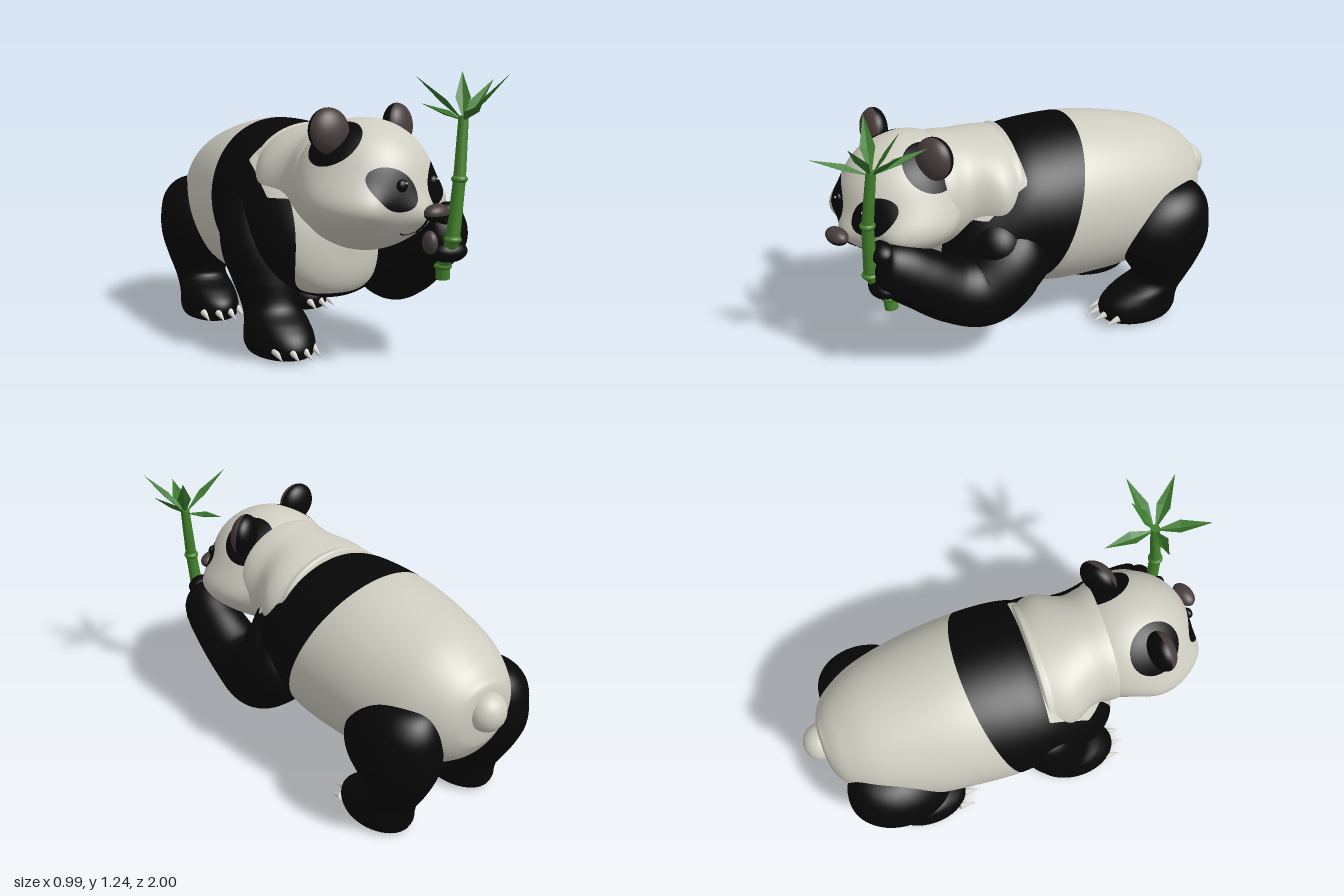
import * as THREE from 'three';
import { mergeVertices } from 'three/addons/utils/BufferGeometryUtils.js';

const mat = (name, color, side = THREE.FrontSide) => {
  const m = new THREE.MeshStandardMaterial({ color, side });
  m.name = name;
  return m;
};
const V = (x, y, z) => new THREE.Vector3(x, y, z);

// Smooth loft through elliptical stations [x, y, z, radiusX, radiusOther]
function loft(stations, rings, sides, axis) {
  const centre = new THREE.CatmullRomCurve3(stations.map(s => V(s[0], s[1], s[2])), false, 'catmullrom');
  const radius = new THREE.CatmullRomCurve3(stations.map(s => V(s[3], s[4], 0)), false, 'catmullrom');
  const pos = [], idx = [], u = V(1, 0, 0);
  for (let i = 0; i <= rings; i++) {
    const c = centre.getPoint(i / rings), r = radius.getPoint(i / rings);
    const v = (axis || centre.getTangent(i / rings)).clone().cross(u).normalize();
    for (let j = 0; j < sides; j++) {
      const a = j / sides * Math.PI * 2;
      const p = c.clone().addScaledVector(u, Math.max(0, r.x) * Math.cos(a))
        .addScaledVector(v, Math.max(0, r.y) * Math.sin(a));
      pos.push(p.x, p.y, p.z);
      if (i === rings) continue;
      const k = (j + 1) % sides, n = i * sides;
      idx.push(n + j, n + k, n + sides + j, n + k, n + sides + k, n + sides + j);
    }
  }
  const g = new THREE.BufferGeometry();
  g.setAttribute('position', new THREE.Float32BufferAttribute(pos, 3));
  g.setIndex(idx);
  g.computeVertexNormals();
  return g;
}

// Cut a surface cleanly where field = 0: group 0 is negative, group 1 positive
function paint(g, field) {
  const { position, normal } = g.attributes, src = g.index.array, pos = [], nor = [];
  const out = new THREE.BufferGeometry();
  const verts = Array.from({ length: position.count }, (_, i) => {
    const p = V(0, 0, 0).fromBufferAttribute(position, i);
    return { p, n: V(0, 0, 0).fromBufferAttribute(normal, i), f: field(p) };
  });
  [-1, 1].forEach((sign, group) => {
    const start = pos.length / 3;
    for (let i = 0; i < src.length; i += 3) {
      const poly = [];
      for (let k = 0; k < 3; k++) {
        const a = verts[src[i + k]], b = verts[src[i + (k + 1) % 3]];
        if (a.f * sign >= 0) poly.push(a);
        const t = a.f / (a.f - b.f);
        if (a.f * b.f < 0) poly.push({ p: a.p.clone().lerp(b.p, t), n: a.n.clone().lerp(b.n, t) });
      }
      for (let k = 1; k + 1 < poly.length; k++) for (const q of [poly[0], poly[k], poly[k + 1]]) {
        pos.push(q.p.x, q.p.y, q.p.z);
        nor.push(q.n.x, q.n.y, q.n.z);
      }
    }
    out.addGroup(start, pos.length / 3 - start, group);
  });
  out.setAttribute('position', new THREE.Float32BufferAttribute(pos, 3));
  out.setAttribute('normal', new THREE.Float32BufferAttribute(nor, 3));
  return out;
}

export function createModel() {
  const white = mat('creamFur', 0xcfcdc1), black = mat('blackFur', 0x070707);
  const brown = mat('brownSkin', 0x483c3c), ivory = mat('ivoryClaw', 0xdcdad0);
  const stalkGreen = mat('stalkGreen', 0x43822c);
  const leafGreen = mat('leafGreen', 0x3b7a2d, THREE.DoubleSide);
  const model = new THREE.Group();
  const add = (name, geo, material, parent = model) => {
    const m = new THREE.Mesh(geo, material);
    m.name = name;
    parent.add(m);
    return m;
  };
  const ball = (name, p, r, material, parent, geo = new THREE.SphereGeometry(1, 32, 24)) => {
    const m = add(name, geo, material, parent);
    m.position.set(...p);
    m.scale.set(...r);
    return m;
  };
  const MID = -0.055;

  // Torso with black shoulder band and cream bib
  const torso = loft([
    [MID, .63, -.925, 0, 0], [MID, .63, -.915, .1, .12], [MID, .62, -.89, .17, .17], [MID, .61, -.83, .235, .235],
    [MID, .605, -.7, .308, .31], [MID, .595, -.5, .365, .372], [MID, .605, -.3, .39, .395], [MID, .61, -.1, .4, .39],
    [MID, .62, .06, .385, .355], [MID, .57, .2, .36, .31], [MID, .53, .3, .325, .285], [MID, .51, .38, .255, .23],
    [MID, .5, .42, .15, .14], [MID, .5, .435, 0, 0]], 150, 112, V(0, 0, 1));
  add('torso', paint(torso, c => {
    const band = c.z + .26 - (1 - c.y) * .356;
    const nape = Math.min(c.z - .06, c.y - .7, .3 - Math.abs(c.x - MID));
    const bib = Math.min(c.z - .12, .2 * (1 - ((c.x + .095) / .195) ** 4 - ((c.y - .55) / .27) ** 4));
    return Math.min(band, -nape, -bib);
  }), [white, black]);
  add('neckRuff', loft([
    [MID, .76, .03, 0, 0], [MID, .76, .06, .27, .222], [-.05, .76, .1, .3, .237], [-.045, .76, .18, .313, .248],
    [-.045, .77, .3, .258, .25], [-.04, .77, .42, .265, .255], [-.04, .77, .55, .2, .2]], 48, 64, V(0, 0, 1)), white);
  ball('tail', [MID, .65, -.92], [.085, .088, .08], white);

  // Standing legs, lofted upward from the sole, with four claws each
  const leg = (name, stations, footX, footZ) => {
    const g = new THREE.Group();
    g.name = name;
    model.add(g);
    add(name + 'Limb', loft(stations, 64, 48, V(0, 1, 0)), black, g);
    for (const d of [-.09, -.03, .03, .09]) {
      const claw = add('claw', new THREE.ConeGeometry(.017, .085, 10), ivory, g);
      claw.position.set(footX + d, .042, footZ + .21 * Math.sqrt(1 - (d / .145) ** 2) + .018);
      claw.rotation.x = Math.PI / 2 + .35;
    }
  };
  leg('frontRightLeg', [
    [-.29, .005, .23, 0, 0], [-.29, .006, .23, .11, .16], [-.29, .045, .228, .143, .205], [-.29, .1, .22, .143, .198],
    [-.29, .15, .195, .135, .172], [-.291, .21, .145, .13, .136], [-.3, .32, .12, .155, .145], [-.31, .42, .1, .178, .155],
    [-.31, .52, .08, .184, .16], [-.3, .62, .06, .172, .15], [-.28, .71, .045, .14, .11], [-.26, .76, .04, 0, 0]], -.29, .228);
  for (const s of [1, -1]) {
    const x = d => MID + s * d;
    leg(s > 0 ? 'hindLeftLeg' : 'hindRightLeg', [
      [x(.25), .005, -.54, 0, 0], [x(.25), .006, -.54, .1, .15], [x(.25), .045, -.54, .13, .193], [x(.25), .1, -.547, .13, .195],
      [x(.25), .15, -.583, .127, .172], [x(.25), .21, -.655, .125, .135], [x(.255), .3, -.66, .15, .18],
      [x(.26), .4, -.645, .175, .235], [x(.26), .5, -.645, .18, .237], [x(.255), .6, -.67, .158, .195],
      [x(.24), .67, -.69, .1, .12], [x(.225), .695, -.7, 0, 0]], x(.25), -.54);
  }

  // Raised left arm, bent at the elbow, with a closed paw and pads
  add('raisedArm', loft([
    [.16, .56, -.04, 0, 0], [.18, .54, .02, .15, .15], [.21, .48, .13, .185, .18], [.25, .375, .27, .155, .175],
    [.25, .4, .42, .14, .15], [.26, .5, .57, .125, .137], [.265, .565, .67, .105, .127],
    [.26, .585, .74, .08, .1], [.255, .595, .775, 0, 0]], 72, 48), black);
  ball('shoulder', [.2, .56, .2], [.15, .14, .13], black);
  ball('upperFingers', [.245, .655, .73], [.07, .05, .055], black);
  ball('lowerFingers', [.25, .497, .735], [.085, .048, .065], black);
  ball('palmPad', [.158, .54, .735], [.03, .05, .04], brown);
  ball('fingerPad', [.2, .66, .765], [.022, .028, .02], brown);

  // Head turned toward its left
  const head = new THREE.Group();
  head.name = 'head';
  head.position.set(-.04, .775, .53);
  head.rotation.y = .33;
  model.add(head);
  const RX = .28, RY = .277, RZ = .3;
  const cheek = y => 1 + .2 * Math.exp(-(((y + .09) / .12) ** 2));
  const jowl = (x, y) => .06 * Math.exp(-(((Math.abs(x) - .27) / .1) ** 2) - ((y + .09) / .1) ** 2);
  const muzzle = (x, y) => .06 * Math.exp(-(x * x / .011 + (y + .115) ** 2 / .008));
  const faceZ = (x, y) => RZ * Math.sqrt(1 - (x / (RX * cheek(y))) ** 2 - (y / RY) ** 2) + muzzle(x, y) + jowl(x, y);
  let skull = new THREE.SphereGeometry(1, 144, 100);
  skull.deleteAttribute('uv');
  skull.deleteAttribute('normal');
  skull = mergeVertices(skull, 1e-5);
  const sp = skull.attributes.position;
  for (let i = 0; i < sp.count; i++) {
    const y = sp.getY(i) * RY, x = sp.getX(i) * RX * cheek(y), z = sp.getZ(i) * RZ;
    sp.setXYZ(i, x, y, z + jowl(x, y) + (z > 0 ? muzzle(x, y) : 0));
  }
  skull.computeVertexNormals();
  add('skull', paint(skull, c => {
    const ax = Math.abs(c.x), dx = ax - .13, dy = c.y - .01;
    const a = dx * .8 + dy * .6, b = dx * .6 - dy * .8;
    const eyePatch = Math.min(c.z, .09 * (1 - (a / .1) ** 2 - (b / .081) ** 2));
    return Math.max(eyePatch, .127 - V(ax, c.y, c.z).distanceTo(V(.2, .2, 0)));
  }), [white, black], head);
  // Nose with a dark underside
  ball('nose', [.008, -.085, .375], [.064, .037, .042], [black, brown], head,
    paint(new THREE.SphereGeometry(1, 32, 24), c => c.y + .2));

  for (const s of [1, -1]) {
    // Round ears with a brown front
    const ear = ball('ear', [s * .218, .232, 0], [.092, .095, .058], [black, brown], head,
      paint(new THREE.SphereGeometry(1, 40, 32), c => c.z - .1));
    ear.rotation.set(-.1, s * .25, 0);
    // Eyes with a tiny glint
    const ez = faceZ(.1, .025);
    ball('eye', [s * .1, .025, ez], [.026, .026, .02], black, head);
    ball('eyeGlint', [s * .1 + .004, .036, ez + .018], [.005, .005, .004], ivory, head);
  }
  // Mouth lines laid on the muzzle
  const line = (pts, r) => add('mouthLine', new THREE.TubeGeometry(new THREE.CatmullRomCurve3(
    pts.map(([x, y]) => V(x, y, faceZ(x, y)))), 24, r, 6), black, head);
  line([[.004, -.09], [.002, -.13], [0, -.17]], .006);
  for (const s of [1, -1]) line([[0, -.168], [s * .03, -.178], [s * .055, -.178], [s * .07, -.172]], .004);

  // Bamboo stalk: jointed segments and node rings
  const bamboo = new THREE.Group();
  bamboo.name = 'bamboo';
  model.add(bamboo);
  const joints = [V(.245, .375, .705), V(.24, .43, .71), V(.235, .555, .785), V(.26, .805, .79), V(.29, 1.06, .768)];
  const up = V(0, 1, 0);
  for (let i = 0; i < 4; i++) {
    const a = joints[i], d = joints[i + 1].clone().sub(a), r = [.03, .03, .03, .026, .021];
    const seg = add('stalkSegment', new THREE.CylinderGeometry(r[i + 1], r[i], d.length(), 20), stalkGreen, bamboo);
    seg.position.copy(a).addScaledVector(d, .5);
    seg.quaternion.setFromUnitVectors(up, d.clone().normalize());
    if (i) ball('stalkNode', a.toArray(), [r[i] + .008, .02, r[i] + .008], stalkGreen, bamboo);
  }
  // Folded pointed leaves fanning from the tip
  const root = V(.29, 1.04, .768);
  const tips = [[.08, 1.225, .73], [.495, 1.205, .69], [.25, 1.1, .51], [.21, 1.12, 1], [.43, 1.235, .89], [.355, 1.24, .66]];
  for (const t of tips) {
    const d = V(...t).sub(root), side = d.clone().cross(up).normalize(), lift = side.clone().cross(d).normalize();
    const at = (k, w, h) => root.clone().addScaledVector(d, k).addScaledVector(side, w).addScaledVector(lift, h);
    const [b, l, m, r, e] = [at(0, 0, 0), at(.45, -.032, .008), at(.45, 0, -.008), at(.45, .032, .008), at(1, 0, 0)];
    add('leaf', new THREE.BufferGeometry().setFromPoints([b, m, l, b, r, m, l, m, e, m, r, e]), leafGreen, bamboo)
      .geometry.computeVertexNormals();
  }
  return model;
}
